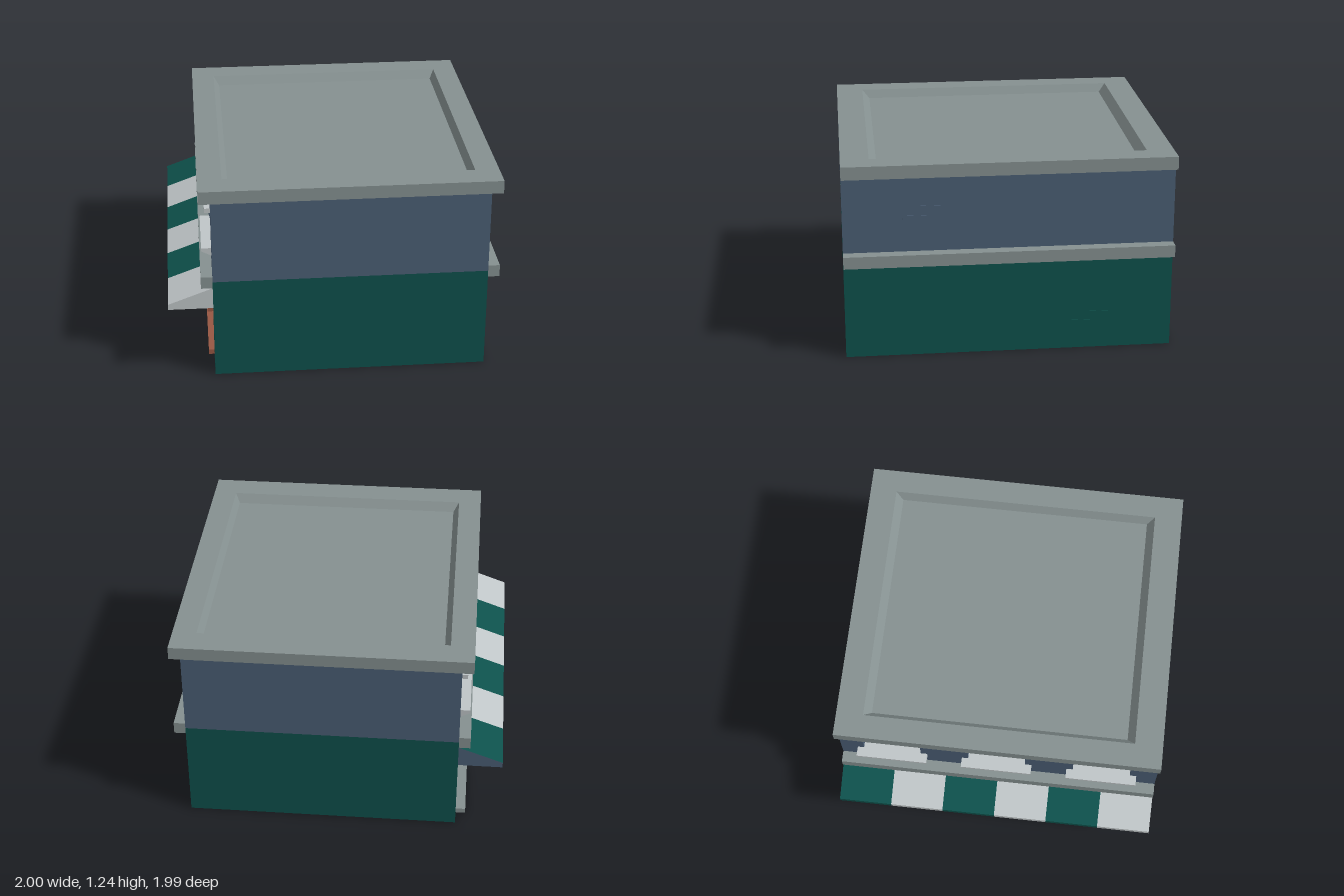
import * as THREE from 'three';

const paint = (name, color, side = THREE.FrontSide) => {
  const m = new THREE.MeshStandardMaterial({ color, side });
  m.name = name;
  return m;
};

export function createModel() {
  const green = paint('green', 0x0e514c, THREE.DoubleSide);
  const blue = paint('slate blue', 0x4b5f75, THREE.DoubleSide);
  const stone = paint('grey stone', 0x869191);
  const white = paint('off white', 0xc0c6c8, THREE.DoubleSide);
  const wood = paint('red brown wood', 0x985843);
  const glass = paint('dusty glass', 0x918a7d, THREE.DoubleSide);

  const model = new THREE.Group();
  model.name = 'shopBuilding';
  const L = -0.73, R = 0.93, Z = 0.995, SPLIT = 0.64, TOP = 1.155;

  const add = (parent, name, geo, mat) => {
    const mesh = new THREE.Mesh(geo, mat);
    mesh.name = name;
    parent.add(mesh);
    return mesh;
  };
  // box given by its limits on each axis
  const box = (parent, name, mat, x0, x1, y0, y1, z0, z1) => {
    const m = add(parent, name, new THREE.BoxGeometry(x1 - x0, y1 - y0, z1 - z0), mat);
    m.position.set((x0 + x1) / 2, (y0 + y1) / 2, (z0 + z1) / 2);
    return m;
  };
  // flat quads, four corners each, counter-clockwise from the front
  const quads = (list) => {
    const pos = [];
    for (const [a, b, c, d] of list) pos.push(...a, ...b, ...c, ...a, ...c, ...d);
    const g = new THREE.BufferGeometry();
    g.setAttribute('position', new THREE.Float32BufferAttribute(pos, 3));
    g.computeVertexNormals();
    return g;
  };

  // plain walls: green below, blue above, open underneath
  for (const [name, mat, y0, y1] of [['lower', green, 0, SPLIT], ['upper', blue, SPLIT, TOP]]) {
    add(model, name + 'FrontWall', quads([[[L, y0, Z], [R, y0, Z], [R, y1, Z], [L, y1, Z]]]), mat);
    add(model, name + 'BackWall', quads([[[R, y0, -Z], [L, y0, -Z], [L, y1, -Z], [R, y1, -Z]]]), mat);
    add(model, name + 'SideWall', quads([[[R, y0, Z], [R, y0, -Z], [R, y1, -Z], [R, y1, Z]]]), mat);
  }

  // loose bricks on the side wall
  for (const [mat, z, y] of [[blue, 0.457, 0.945], [blue, 0.567, 0.885], [green, -0.537, 0.225], [green, -0.43, 0.17]])
    box(model, 'brick', mat, R, R + 0.004, y - 0.015, y + 0.015, z - 0.072, z + 0.072);

  // ledges between the storeys
  box(model, 'facadeLedge', stone, -0.8, L, 0.6, 0.675, -Z, Z);
  box(model, 'sideLedge', stone, R, 1, 0.6, 0.675, -Z, Z);

  // roof slab with a sunken, bevelled middle, built from rectangular rings
  const ring = (x0, x1, z0, z1, y) => [[x0, y, z1], [x1, y, z1], [x1, y, z0], [x0, y, z0]];
  const rings = [
    ring(-0.8, 1, -Z, Z, TOP), ring(-0.8, 1, -Z, Z, 1.235),
    ring(-0.655, 0.855, -0.83, 0.825, 1.235), ring(-0.62, 0.825, -0.785, 0.78, 1.185),
  ];
  const roof = [[...rings[0]].reverse(), rings[3]];
  for (let r = 0; r < 3; r++)
    for (let i = 0; i < 4; i++) {
      const j = (i + 1) % 4;
      roof.push([rings[r][i], rings[r][j], rings[r + 1][j], rings[r + 1][i]]);
    }
  add(model, 'roof', quads(roof), stone);

  // facade: local x runs along the wall, local z points out of it
  const facade = new THREE.Group();
  facade.name = 'facade';
  facade.rotation.y = -Math.PI / 2;
  facade.position.x = L;
  model.add(facade);

  const DEPTH = -0.1;
  const outline = (points) => points.map(([x, y]) => new THREE.Vector2(x, y));
  const rect = (x0, x1, y0, y1) => outline([[x0, y0], [x0, y1], [x1, y1], [x1, y0]]);
  const door = [-0.87, -0.47], gap = [-0.21, 0.21], shop = [0.24, 0.88];
  const windows = [-0.67, -0.01, 0.65];

  const lower = new THREE.Shape(outline([
    [-Z, 0], [door[0], 0], [door[0], 0.43], [door[1], 0.43], [door[1], 0],
    [gap[0], 0], [gap[0], 0.43], [gap[1], 0.43], [gap[1], 0], [Z, 0], [Z, SPLIT], [-Z, SPLIT]]));
  lower.holes.push(new THREE.Path(rect(shop[0], shop[1], 0.12, 0.41)));
  add(facade, 'lowerFacade', new THREE.ShapeGeometry(lower), green);

  const upper = new THREE.Shape(outline([[-Z, SPLIT], [Z, SPLIT], [Z, TOP], [-Z, TOP]]));
  for (const c of windows) upper.holes.push(new THREE.Path(rect(c - 0.18, c + 0.18, 0.79, 1.05)));
  add(facade, 'upperFacade', new THREE.ShapeGeometry(upper), blue);

  // recessed opening: reveal, frame and pane
  const opening = (name, x0, x1, y0, y1, wall, trim) => {
    const g = new THREE.Group();
    g.name = name;
    facade.add(g);
    add(g, 'reveal', quads([
      [[x0, y0, 0], [x0, y0, DEPTH], [x0, y1, DEPTH], [x0, y1, 0]],
      [[x1, y0, DEPTH], [x1, y0, 0], [x1, y1, 0], [x1, y1, DEPTH]],
      [[x0, y1, DEPTH], [x1, y1, DEPTH], [x1, y1, 0], [x0, y1, 0]]]), wall);
    const w = 0.03, f0 = DEPTH - 0.005, f1 = DEPTH + 0.025;
    box(g, 'frameSide', trim, x0, x0 + w, y0, y1, f0, f1);
    box(g, 'frameSide', trim, x1 - w, x1, y0, y1, f0, f1);
    box(g, 'frameTop', trim, x0 + w, x1 - w, y1 - w, y1, f0, f1);
    box(g, 'frameBottom', trim, x0 + w, x1 - w, y0, y0 + w, f0, f1);
    box(g, 'pane', glass, x0 + w, x1 - w, y0 + w, y1 - w, DEPTH, DEPTH + 0.006);
    return g;
  };

  // upper windows with header, sash rail and tapered sill
  const sillShape = new THREE.Shape(outline([[0.06, 0.805], [DEPTH, 0.805], [DEPTH, 0.755], [0, 0.755], [0.06, 0.785]]));
  for (const c of windows) {
    const g = opening('upperWindow', c - 0.18, c + 0.18, 0.8, 1.05, blue, white);
    box(g, 'sashRail', white, c - 0.15, c + 0.15, 0.915, 0.935, DEPTH, DEPTH + 0.02);
    box(g, 'header', white, c - 0.22, c + 0.22, 1.04, 1.068, -0.02, 0.035);
    const sill = add(g, 'sill', new THREE.ExtrudeGeometry(sillShape, { depth: 0.44, bevelEnabled: false }), white);
    sill.rotation.y = -Math.PI / 2;
    sill.scale.x = 1;
    sill.position.x = c + 0.22;
  }

  // door and its step
  const doorGroup = opening('door', door[0], door[1], 0.03, 0.43, green, wood);
  box(doorGroup, 'doorRail', wood, door[0] + 0.03, door[1] - 0.03, 0.14, 0.165, DEPTH, DEPTH + 0.02);
  box(doorGroup, 'doorPost', wood, door[1] - 0.12, door[1] - 0.095, 0.06, 0.4, DEPTH, DEPTH + 0.02);
  box(doorGroup, 'step', stone, -0.9, -0.43, 0, 0.032, DEPTH, 0.06);

  // shop window with wooden header and sill
  const shopGroup = opening('shopWindow', shop[0], shop[1], 0.12, 0.41, wood, wood);
  box(shopGroup, 'header', wood, 0.2, 0.92, 0.4, 0.43, DEPTH, 0.035);
  box(shopGroup, 'sill', wood, 0.18, 0.92, 0.1, 0.13, DEPTH, 0.035);
  for (const y of [0.1, 0.4]) box(facade, 'gapBracket', wood, -0.215, -0.185, y, y + 0.03, -0.15, 0.035);

  // striped awning with a short valance and closed ends
  const awning = new THREE.Group();
  awning.name = 'awning';
  model.add(awning);
  const step = (2 * Z) / 6;
  for (let i = 0; i < 6; i++) {
    const a = -Z + i * step, b = a + step;
    add(awning, 'awningStripe', quads([
      [[-1, 0.5, a], [-1, 0.5, b], [L, 0.6, b], [L, 0.6, a]],
      [[-1, 0.465, a], [-1, 0.465, b], [-1, 0.5, b], [-1, 0.5, a]]]), i % 2 ? white : green);
  }
  const end = new THREE.Shape(outline([[-1, 0.465], [L, 0.465], [L, 0.6], [-1, 0.5]]));
  add(awning, 'awningEnd', new THREE.ShapeGeometry(end), white).position.z = Z;
  add(awning, 'awningEnd', new THREE.ShapeGeometry(end), blue).position.z = -Z;

  return model;
}
